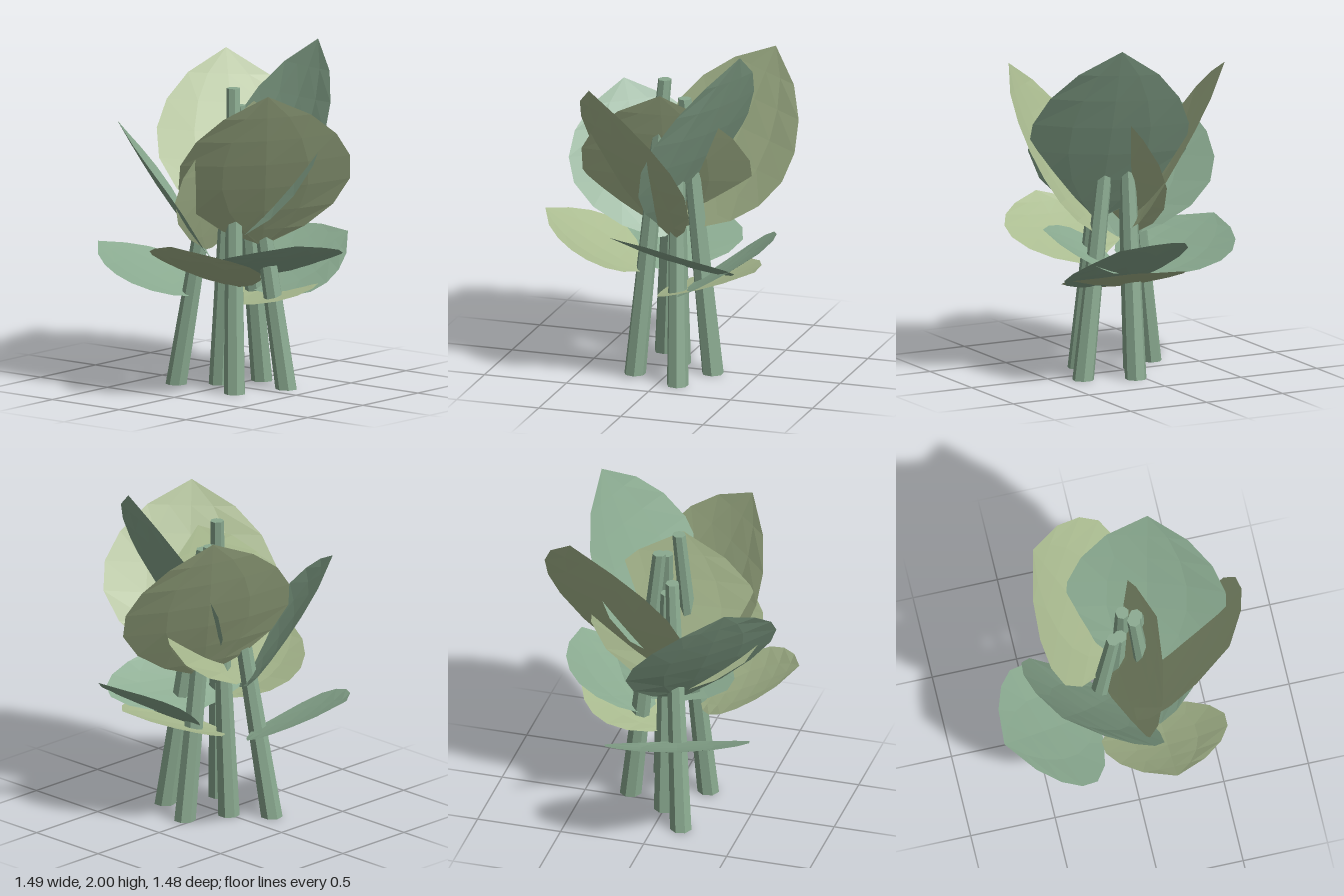
import * as THREE from 'three';

const BLUE_GREEN = 0x8aaa90;
const OLIVE = 0xaabb90;

// Leaf outline: [fraction of length, fraction of half width]
const OUTLINE = [[0, 0.06], [0.1, 0.48], [0.23, 0.81], [0.39, 1], [0.55, 0.99], [0.71, 0.82], [0.86, 0.51], [1, 0]];

const stemMaterial = new THREE.MeshStandardMaterial({ color: BLUE_GREEN, flatShading: true });
const leafMaterial = (color) =>
  new THREE.MeshStandardMaterial({ color, flatShading: true, side: THREE.DoubleSide });

// Tapered stem from a point on the ground to its cut top
function makeStem(base, top) {
  const a = new THREE.Vector3(...base), b = new THREE.Vector3(...top);
  const dir = b.clone().sub(a);
  const geo = new THREE.CylinderGeometry(0.04, 0.064, 1, 7);
  const pos = geo.attributes.position;
  // shear rather than rotate, so that both ends stay level
  for (let i = 0; i < pos.count; i++) {
    const t = pos.getY(i) + 0.5;
    pos.setXYZ(i, pos.getX(i) + a.x + dir.x * t, a.y + dir.y * t, pos.getZ(i) + a.z + dir.z * t);
  }
  geo.computeVertexNormals();
  const mesh = new THREE.Mesh(geo, stemMaterial);
  mesh.name = 'stem';
  return mesh;
}

// Broad pointed leaf, slightly cupped, across the given sideways direction
function makeLeaf(name, base, tip, side, width, color, cup = 0.045) {
  const a = new THREE.Vector3(...base);
  const axis = new THREE.Vector3(...tip).sub(a);
  const along = axis.clone().normalize();
  const across = new THREE.Vector3(...side);
  across.addScaledVector(along, -across.dot(along)).normalize();
  const up = new THREE.Vector3().crossVectors(across, along);
  if (up.y < 0) up.negate();

  const points = [], index = [];
  const end = (OUTLINE.length - 1) * 5;
  OUTLINE.forEach(([t, w], row) => {
    const sag = -0.5 * cup * Math.sin(Math.PI * t);
    for (const s of [-1, -0.5, 0, 0.5, 1]) {
      points.push(a.clone().addScaledVector(axis, t)
        .addScaledVector(across, s * w * width / 2)
        .addScaledVector(up, sag + cup * s * s * w * w));
    }
    if (row === 0) return;
    for (let c = 0; c < 4; c++) {
      const i = (row - 1) * 5 + c, j = row * 5 + c;
      // the last row closes as a fan onto the tip
      if (j >= end) index.push(i, i + 1, end);
      else index.push(i, i + 1, j, i + 1, j + 1, j);
    }
  });

  const geo = new THREE.BufferGeometry().setFromPoints(points);
  geo.setIndex(index);
  geo.computeVertexNormals();
  const mesh = new THREE.Mesh(geo, leafMaterial(color));
  mesh.name = name;
  return mesh;
}

export function createModel() {
  const model = new THREE.Group();
  model.name = 'plant';

  // Stems, leaning together toward the top
  const stems = new THREE.Group();
  stems.name = 'stems';
  [
    [[-0.265, 0, 0.155], [-0.05, 1.5, 0.04]],
    [[0.195, 0, 0.185], [0.07, 1.76, 0.045]],
    [[0.33, 0, -0.12], [0.1, 1.6, -0.04]],
    [[-0.07, 0, 0], [0, 1.4, -0.005]],
    [[0.05, 0, -0.24], [0.025, 1.64, -0.06]],
  ].forEach(([b, t]) => stems.add(makeStem(b, t)));
  model.add(stems);

  // Upright leaves around the crown
  const upper = new THREE.Group();
  upper.name = 'upperLeaves';
  upper.add(
    makeLeaf('backLeaf', [0.14, 0.91, 0.05], [0.27, 2.0, -0.48], [0.87, -0.04, 0.31], 0.93, BLUE_GREEN),
    makeLeaf('backRightLeaf', [0.02, 0.87, -0.12], [-0.41, 1.87, -0.47], [0.52, -0.18, -0.85], 1.0, OLIVE),
    makeLeaf('frontLeftLeaf', [0.21, 0.85, -0.05], [0.57, 1.81, 0.34], [-0.65, 0, 0.73], 1.0, OLIVE),
    makeLeaf('frontRightLeaf', [-0.05, 0.76, 0.11], [-0.45, 1.57, 0.47], [0.69, -0.08, 0.64], 0.94, BLUE_GREEN),
    makeLeaf('innerLeaf', [-0.1, 0.8, 0.06], [0.21, 1.7, 0.03], [0.08, -0.02, 1], 1.01, OLIVE, 0.03),
  );
  model.add(upper);

  // Spreading leaves lower down
  const lower = new THREE.Group();
  lower.name = 'lowerLeaves';
  lower.add(
    makeLeaf('lowFrontLeaf', [0.17, 0.62, 0.15], [0.17, 0.94, 0.74], [1, 0.02, 0], 0.73, OLIVE),
    makeLeaf('lowRightLeaf', [-0.17, 0.52, 0.1], [-0.75, 0.8, 0.28], [0.3, 0, 0.85], 0.84, BLUE_GREEN, 0.03),
    makeLeaf('lowLeftLeaf', [0.08, 0.63, -0.14], [0.52, 0.88, 0.02], [-0.45, -0.04, 0.83], 0.88, BLUE_GREEN, 0.03),
    makeLeaf('lowBackLeaf', [0.02, 0.56, -0.15], [0.37, 0.86, -0.63], [0.8, -0.34, 0.5], 0.74, BLUE_GREEN, 0.03),
    makeLeaf('lowestLeaf', [0.03, 0.49, 0.04], [0.24, 0.7, -0.56], [1, 0, 0.17], 0.72, OLIVE, 0.03),
  );
  model.add(lower);

  return model;
}
